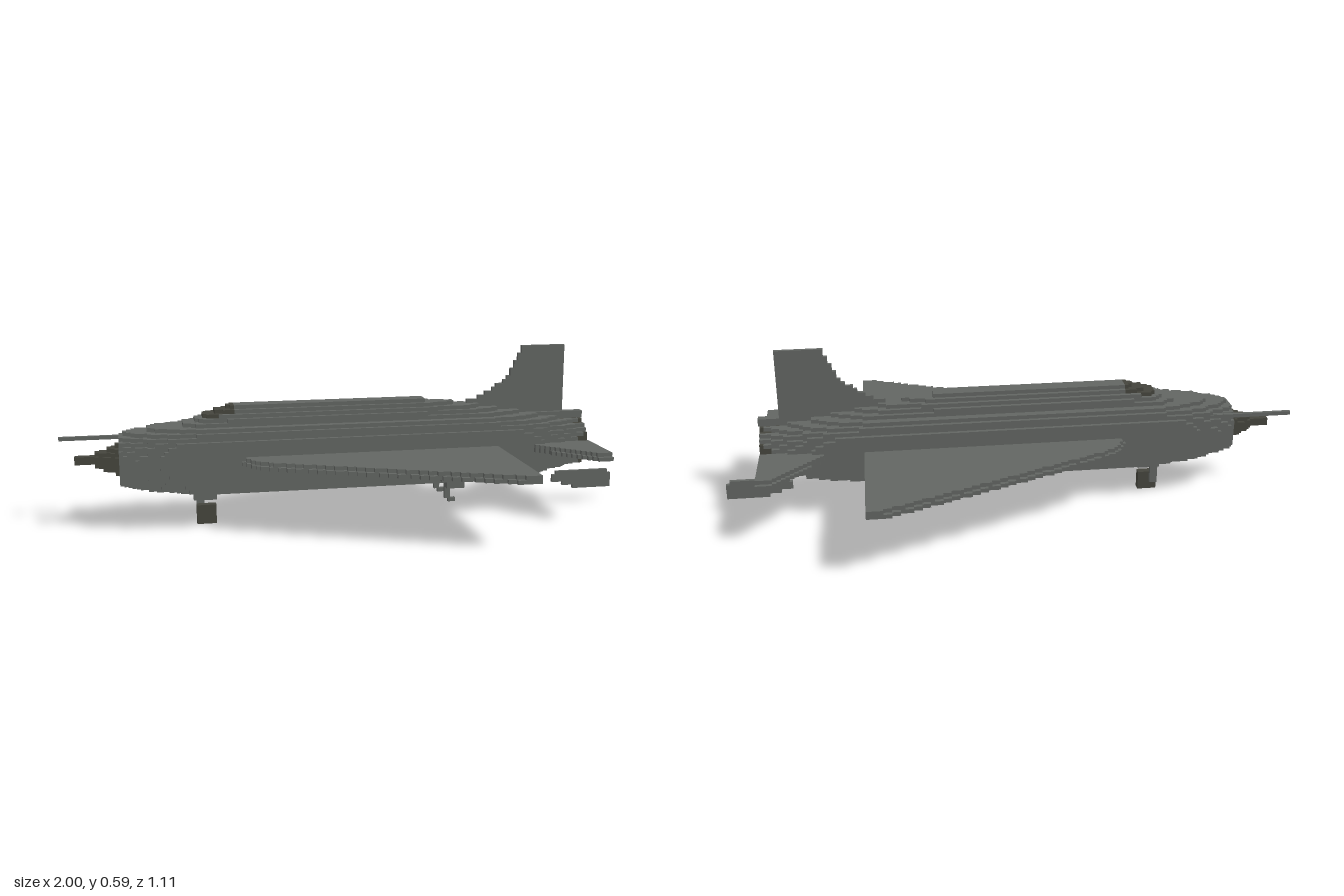
import * as THREE from 'three';

const S = 2 / 148; // block size

const grey = new THREE.MeshStandardMaterial({ color: 0x626562 });
grey.name = 'airframe grey';
const dark = new THREE.MeshStandardMaterial({ color: 0x45453d });
dark.name = 'dark charcoal';

// Piecewise linear lookup in [[x, value], ...]
function ramp(points, x) {
  if (x <= points[0][0]) return points[0][1];
  for (let i = 1; i < points.length; i++) {
    const [x0, v0] = points[i - 1], [x1, v1] = points[i];
    if (x <= x1) return v0 + (v1 - v0) * (x - x0) / (x1 - x0);
  }
  return points[points.length - 1][1];
}

// Even-odd test against an outline
function inPolygon(points, x, y) {
  let hit = false;
  points.forEach(([x0, y0], i) => {
    const [x1, y1] = points[(i + 1) % points.length];
    if ((y0 > y) !== (y1 > y) && x < x0 + (x1 - x0) * (y - y0) / (y1 - y0)) hit = !hit;
  });
  return hit;
}

// Fills a region with blocks and keeps only the exposed faces
function blocks(group, name, material, min, max, inside) {
  const lo = min.map(v => Math.round(v / S)), hi = max.map(v => Math.round(v / S));
  const filled = c => c.every((v, a) => v >= lo[a] && v < hi[a]) &&
    inside(...c.map(v => (v + 0.5) * S));
  const positions = [], index = [];
  for (let i = lo[0]; i < hi[0]; i++)
    for (let j = lo[1]; j < hi[1]; j++)
      for (let k = lo[2]; k < hi[2]; k++) {
        const cell = [i, j, k];
        if (!filled(cell)) continue;
        for (let a = 0; a < 3; a++) for (const side of [0, 1]) {
          const next = [...cell];
          next[a] += side ? 1 : -1;
          if (filled(next)) continue;
          const n = positions.length / 3;
          for (const [u, v] of [[0, 0], [1, 0], [1, 1], [0, 1]]) {
            const p = [...cell];
            p[a] += side;
            p[(a + 1) % 3] += u;
            p[(a + 2) % 3] += v;
            positions.push(p[0] * S, p[1] * S, p[2] * S);
          }
          index.push(...(side ? [n, n + 1, n + 2, n, n + 2, n + 3] : [n, n + 2, n + 1, n, n + 3, n + 2]));
        }
      }
  const geometry = new THREE.BufferGeometry();
  geometry.setAttribute('position', new THREE.Float32BufferAttribute(positions, 3));
  geometry.setIndex(index);
  geometry.computeVertexNormals();
  const mesh = new THREE.Mesh(geometry, material);
  mesh.name = name;
  group.add(mesh);
}

// Plain cuboid from its two corners
function bar(group, name, material, min, max) {
  const size = max.map((v, a) => v - min[a]);
  const mesh = new THREE.Mesh(new THREE.BoxGeometry(...size), material);
  mesh.position.set(...min.map((v, a) => v + size[a] / 2));
  mesh.name = name;
  group.add(mesh);
}

export function createModel() {
  const jet = new THREE.Group();
  jet.name = 'jet';
  const CY = 0.241;

  // Fuselage with open intake and exhaust
  const width = [[-0.8, 0.085], [-0.74, 0.102], [-0.6, 0.125], [0.62, 0.125], [0.76, 0.105], [0.87, 0.078]];
  const height = [[-0.8, 0.085], [-0.74, 0.1], [-0.6, 0.115], [-0.52, 0.126], [0.5, 0.126], [0.7, 0.103], [0.87, 0.075]];
  const spineTop = [[-0.58, 0.355], [-0.5, 0.39], [-0.4, 0.421], [0.24, 0.421], [0.3, 0.405], [0.42, 0.395], [0.6, 0.36]];
  const isCanopy = (x, y, z) => x > -0.525 && x < -0.405 && y > 0.372 && Math.abs(z) < 0.045;
  const hull = (x, y, z) => {
    const r = Math.hypot(y - CY, z);
    if (x < -0.75 && r < 0.066) return false;
    if (x > 0.77 && r < 0.078) return false;
    const power = x < -0.7 || x > 0.72 ? 2.1 : 2.7;
    const body = Math.abs(z / ramp(width, x)) ** power + Math.abs((y - CY) / ramp(height, x)) ** power < 1;
    const rise = ramp(spineTop, x) - 0.325;
    const spine = x > -0.58 && x < 0.62 && y > 0.325 &&
      (z / 0.07) ** 2 + ((y - 0.325) / rise) ** 2 < 1.04 && y < ramp(spineTop, x);
    return body || spine;
  };
  blocks(jet, 'fuselage', grey, [-0.8, 0.1, -0.14], [0.87, 0.44, 0.14], (x, y, z) => hull(x, y, z) && !isCanopy(x, y, z));
  blocks(jet, 'canopy', dark, [-0.54, 0.36, -0.06], [-0.39, 0.44, 0.06], (x, y, z) => hull(x, y, z) && isCanopy(x, y, z));

  // Nose cone sitting in the intake
  const cone = [[-0.94, 0.012], [-0.89, 0.013], [-0.87, 0.026], [-0.8, 0.052], [-0.75, 0.06]];
  blocks(jet, 'nose cone', dark, [-0.94, 0.16, -0.09], [-0.75, 0.33, 0.09],
    (x, y, z) => Math.hypot(y - CY, z) < ramp(cone, x));
  blocks(jet, 'intake throat', dark, [-0.757, 0.16, -0.09], [-0.743, 0.33, 0.09],
    (x, y, z) => Math.hypot(y - CY, z) < 0.066);

  // Exhaust nozzle
  blocks(jet, 'exhaust nozzle', dark, [0.77, 0.14, -0.1], [0.865, 0.34, 0.1], (x, y, z) => {
    const r = Math.hypot(y - CY, z);
    return r < 0.083 && (r > 0.058 || x < 0.8);
  });

  // Air data probe on the right of the nose
  bar(jet, 'probe', grey, [-1, 0.297, -0.084], [-0.62, 0.31, -0.071]);

  // Delta wings and tailplanes, mirrored
  const wing = [[-0.4, 0], [-0.39, 0.125], [-0.35, 0.2], [-0.3, 0.232], [0.46, 0.56], [0.53, 0.56], [0.53, 0]];
  const tail = [[0.6, 0.07], [0.64, 0.125], [0.82, 0.31], [0.88, 0.31], [0.88, 0.07]];
  for (const [label, sign] of [['left', 1], ['right', -1]]) {
    // As seen facing the nose at -x, the +z wing is labelled left
    const span = sign > 0 ? [0.09, 0.57] : [-0.57, -0.09];
    blocks(jet, label + ' wing', grey, [-0.4, 0.225, span[0]], [0.52, 0.25, span[1]],
      (x, y, z) => inPolygon(wing, x, Math.abs(z) + (y > 0.238 ? 0.012 : 0)));
    blocks(jet, label + ' tailplane', grey, [0.6, 0.225, span[0]], [0.87, 0.25, span[1]],
      (x, y, z) => inPolygon(tail, x, Math.abs(z) + (y > 0.238 ? 0.012 : 0)));
    // Pylons under the wing
    for (const [z, x0, x1] of [[0.237, 0.16, 0.31], [0.35, 0.24, 0.385]])
      bar(jet, label + ' pylon', grey, [x0, 0.2, sign * z - 0.0135], [x1, 0.2255, sign * z + 0.0135]);
  }

  // Tail fin, the tube at its base and the separate lower fin
  const fin = [[0.38, 0.33], [0.4, 0.392], [0.47, 0.41], [0.55, 0.455], [0.6, 0.505], [0.62, 0.555], [0.65, 0.6], [0.82, 0.6], [0.82, 0.3]];
  blocks(jet, 'tail fin', grey, [0.36, 0.31, -S], [0.8, 0.59, 0], (x, y) => inPolygon(fin, x, y));
  bar(jet, 'tail tube', grey, [0.6, 0.325, -0.0135], [0.87, 0.351, 0.0135]);
  const keel = [[0.77, 0.09], [0.785, 0.13], [0.97, 0.13], [1.01, 0.09], [1.01, 0.05], [0.88, 0.05]];
  blocks(jet, 'lower fin', grey, [0.77, 0.055, -S], [1, 0.125, 0], (x, y) => inPolygon(keel, x, y));

  // Nose gear
  blocks(jet, 'nose wheel', dark, [-0.545, 0, -S], [-0.465, 0.07, S],
    (x, y) => Math.hypot(x + 0.507, y - 0.034) < 0.039);
  bar(jet, 'nose gear bay', grey, [-0.55, 0.085, -0.0135], [-0.47, 0.125, 0.0135]);
  bar(jet, 'nose gear strut', grey, [-0.54, 0.03, -0.027], [-0.513, 0.13, -0.0135]);

  // Main gear legs
  for (const z of [0.049, -0.09]) {
    bar(jet, 'main gear bay', grey, [0.34, 0.1, z - 0.007], [0.405, 0.15, z + 0.007]);
    bar(jet, 'main gear strut', grey, [0.34, 0.058, z - 0.007], [0.36, 0.1, z + 0.007]);
    bar(jet, 'main gear foot', grey, [0.353, 0.045, z - 0.007], [0.38, 0.059, z + 0.007]);
  }
  bar(jet, 'left belly fairing', grey, [0.34, 0.1, 0.042], [0.405, 0.14, 0.083]);
  bar(jet, 'right belly fairing', grey, [0.34, 0.1, -0.09], [0.405, 0.14, -0.02]);

  return jet;
}
